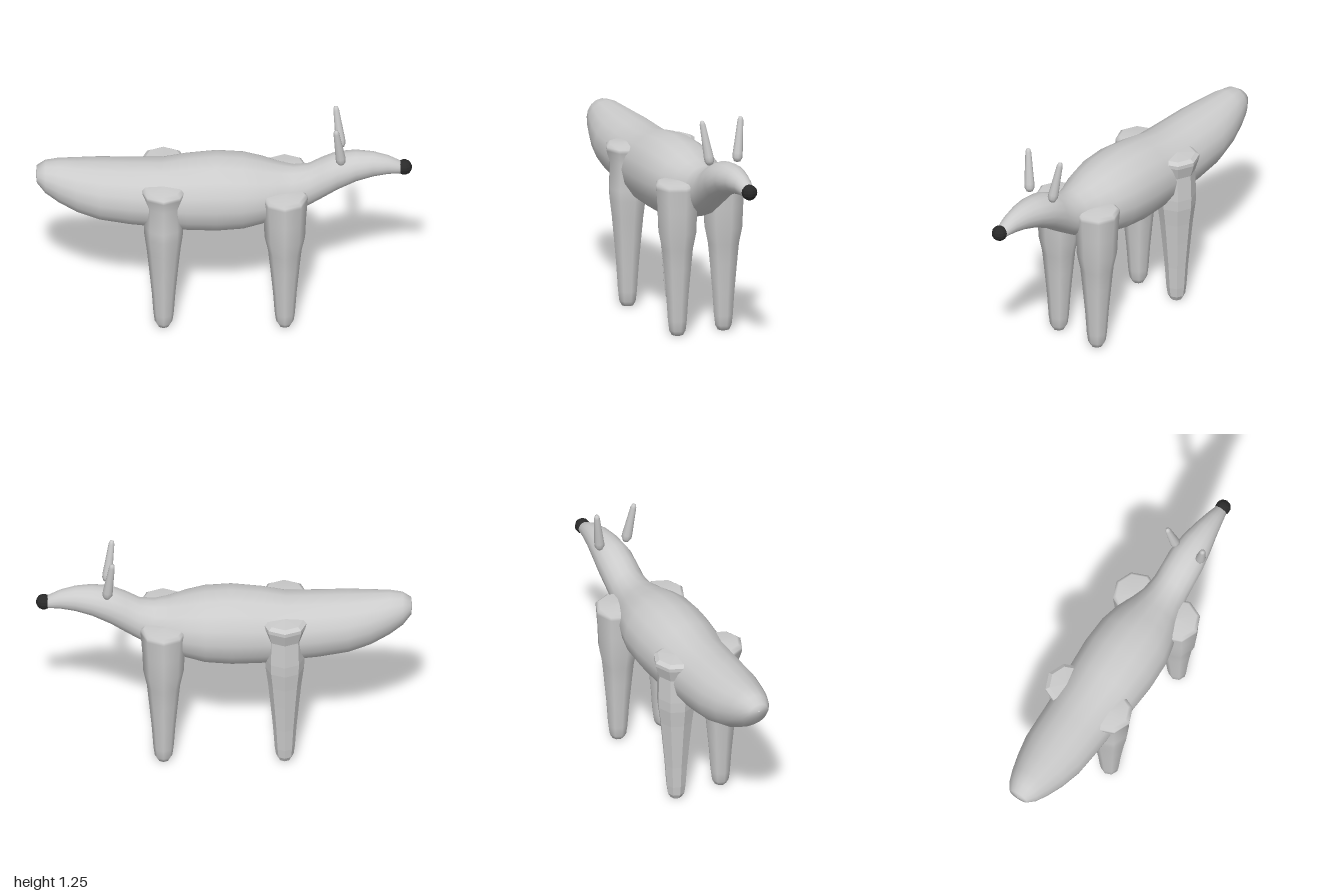
import * as THREE from 'three';

const grey = new THREE.MeshStandardMaterial({ color: 0xcccccc });
const facetedGrey = new THREE.MeshStandardMaterial({ color: 0xcccccc, flatShading: true });
const dark = new THREE.MeshStandardMaterial({ color: 0x2a2a2a, flatShading: true });

// Elliptical rings along x: [x, top, bottom, halfWidth]
function loft(stations, sides) {
  const pos = [], index = [];
  for (const [x, top, bottom, w] of stations) {
    for (let j = 0; j < sides; j++) {
      const a = (j / sides) * Math.PI * 2;
      pos.push(x, (top + bottom) / 2 + ((top - bottom) / 2) * Math.cos(a), w * Math.sin(a));
    }
  }
  for (let i = 0; i < stations.length - 1; i++) {
    for (let j = 0; j < sides; j++) {
      const k = (j + 1) % sides;
      const a = i * sides + j, b = i * sides + k;
      index.push(a, b, a + sides, b, b + sides, a + sides);
    }
  }
  const g = new THREE.BufferGeometry();
  g.setAttribute('position', new THREE.Float32BufferAttribute(pos, 3));
  g.setIndex(index);
  g.computeVertexNormals();
  return g;
}

// Turned part from [radius, y] pairs
const turned = (profile, sides) =>
  new THREE.LatheGeometry(profile.map(([r, y]) => new THREE.Vector2(r, y)), sides);

function add(parent, name, geometry, material, x, y, z) {
  const mesh = new THREE.Mesh(geometry, material);
  mesh.name = name;
  mesh.position.set(x, y, z);
  parent.add(mesh);
  return mesh;
}

export function createModel() {
  const model = new THREE.Group();
  model.name = 'animal';

  // Body, neck and head in one sweep from rump to muzzle
  const body = [
    [-1, 0.9, 0.895, 0.003], [-0.995, 0.94, 0.855, 0.055], [-0.95, 0.972, 0.79, 0.088],
    [-0.88, 0.98, 0.735, 0.117], [-0.78, 0.976, 0.678, 0.148], [-0.66, 0.973, 0.637, 0.175],
    [-0.5, 0.968, 0.608, 0.185], [-0.33, 0.965, 0.59, 0.193], [-0.2, 0.99, 0.573, 0.207],
    [-0.04, 1.005, 0.57, 0.218], [0.1, 0.995, 0.583, 0.212], [0.2, 0.972, 0.61, 0.188],
    [0.29, 0.948, 0.635, 0.152], [0.37, 0.935, 0.66, 0.122], [0.45, 0.945, 0.71, 0.106],
    [0.52, 0.985, 0.755, 0.104], [0.6, 1.02, 0.81, 0.103], [0.7, 1.031, 0.862, 0.088],
    [0.79, 1.026, 0.888, 0.068], [0.87, 1.005, 0.9, 0.05], [0.94, 0.97, 0.902, 0.034],
    [0.96, 0.94, 0.93, 0.005],
  ];
  add(model, 'body', loft(body, 16), grey, 0, 0, 0);
  add(model, 'nose', new THREE.SphereGeometry(0.042, 10, 8), dark, 0.957, 0.936, 0);

  // Octagonal legs with a wide shoulder, a thigh bulge and a rounded foot
  const shin = [[0, 0.004], [0.032, 0.008], [0.047, 0.035], [0.054, 0.09], [0.063, 0.22], [0.078, 0.38]];
  const rearLeg = turned([...shin, [0.09, 0.5], [0.103, 0.6], [0.105, 0.66], [0.1, 0.8],
    [0.122, 0.87], [0.122, 0.89], [0.1, 0.905], [0, 0.91]], 8);
  const frontLeg = turned([...shin, [0.089, 0.49], [0.108, 0.58], [0.113, 0.7], [0.122, 0.82],
    [0.122, 0.84], [0.105, 0.852], [0, 0.857]], 8);

  // Rounded ear spike
  const ear = turned([[0, 0], [0.017, 0.005], [0.027, 0.025], [0.027, 0.05], [0.021, 0.14],
    [0.016, 0.225], [0.011, 0.242], [0, 0.248]], 10);

  for (const side of [1, -1]) {
    const label = side > 0 ? 'Near' : 'Far';
    add(model, 'rearLeg' + label, rearLeg, side > 0 ? grey : facetedGrey, -0.322, 0, side * 0.134);
    add(model, 'frontLeg' + label, frontLeg, grey, 0.322, 0, side * 0.134);
    const e = add(model, 'ear' + label, ear, grey, 0.623, 1.01, side * 0.078);
    e.rotation.set(side * 0.145, 0, 0.12);
  }
  return model;
}
